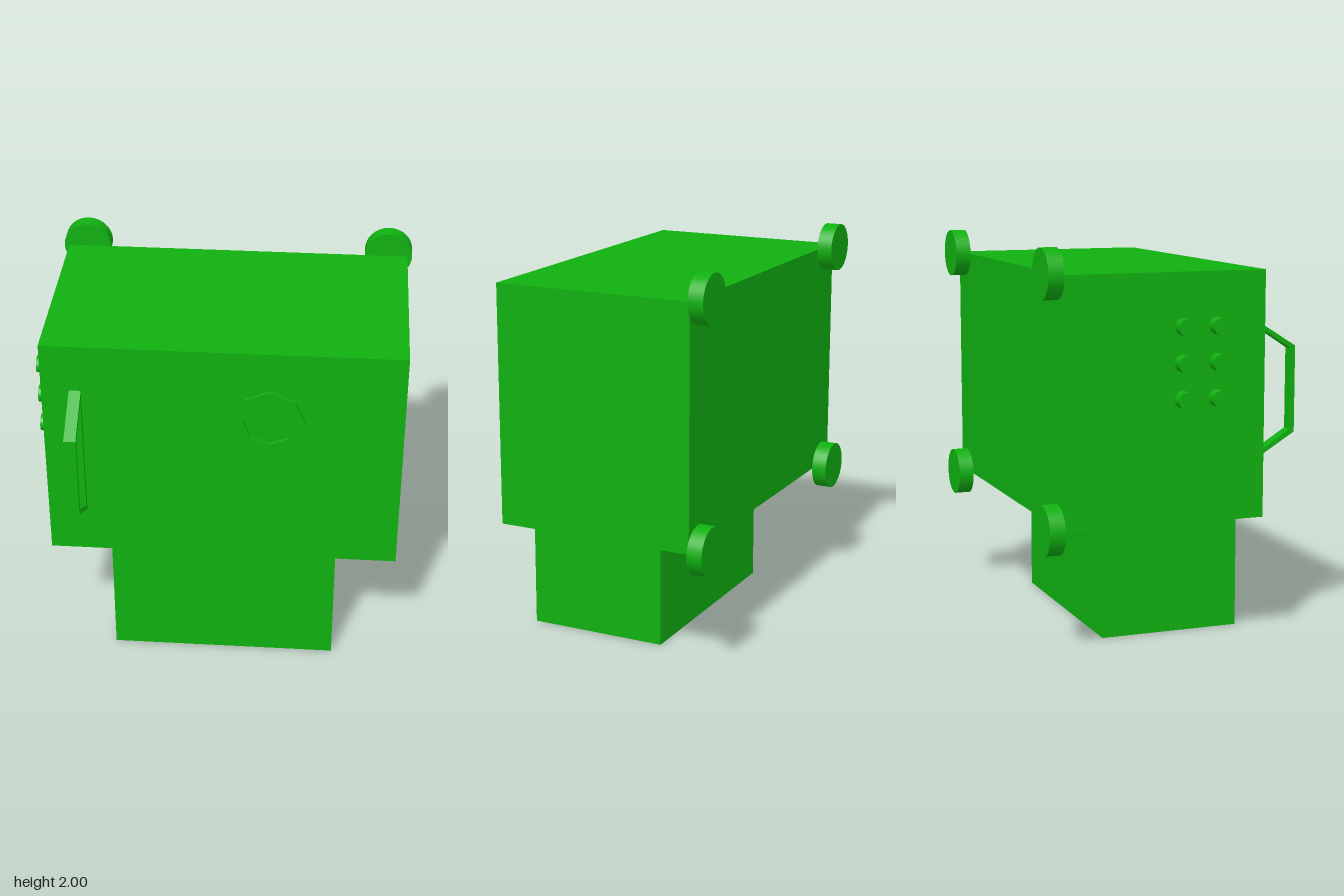
import * as THREE from 'three';

const FRONT = 0.445, BACK = -0.6;
const material = new THREE.MeshStandardMaterial({ color: 0x10b010 });

export function createModel() {
  const group = new THREE.Group();

  const add = (name, geometry, x = 0, y = 0, z = 0) => {
    const mesh = new THREE.Mesh(geometry, material);
    mesh.name = name;
    mesh.position.set(x, y, z);
    group.add(mesh);
    return mesh;
  };

  // Box given by its lower and upper corners
  const addBox = (name, [x0, y0, z0], [x1, y1, z1]) =>
    add(name, new THREE.BoxGeometry(x1 - x0, y1 - y0, z1 - z0),
      (x0 + x1) / 2, (y0 + y1) / 2, (z0 + z1) / 2);

  // Flat outline with one opening, given thickness
  const frame = (outer, inner, depth) => {
    const toPoints = (list) => list.map(([x, y]) => new THREE.Vector2(x, y));
    const shape = new THREE.Shape(toPoints(outer));
    shape.holes.push(new THREE.Path(toPoints(inner)));
    return new THREE.ExtrudeGeometry(shape, { depth, bevelEnabled: false });
  };

  // Main housing and the narrower base
  addBox('housing', [-0.89, 0.64, BACK], [0.92, 1.875, FRONT]);
  addBox('base', [-0.57, 0, -0.29], [0.605, 0.64, FRONT]);

  // Round feet on the four back corners
  for (const x of [-0.79, 0.82]) {
    for (const y of [0.637, 1.875]) {
      const foot = add('foot', new THREE.CylinderGeometry(0.125, 0.125, 0.08, 48), x, y, BACK - 0.04);
      foot.rotation.x = Math.PI / 2;
    }
  }

  // Two columns of three buttons on the right side
  for (const z of [0.01, 0.19]) {
    for (const y of [1.255, 1.433, 1.61]) {
      const button = add('button', new THREE.CylinderGeometry(0.043, 0.043, 0.06, 32), -0.92, y, z);
      button.rotation.z = Math.PI / 2;
    }
  }

  // Octagonal ring on the front
  const octagon = (r) => Array.from({ length: 8 }, (_, i) =>
    [r * Math.cos(i * Math.PI / 4), r * Math.sin(i * Math.PI / 4)]);
  add('dialRing', frame(octagon(0.177), octagon(0.133), 0.018), 0.25, 1.49, FRONT);

  // Trapezoid handle: outline in (z, y), turned so its thickness runs along x
  const handle = add('handle', frame(
    [[0.445, 0.893], [0.68, 1.035], [0.68, 1.475], [0.445, 1.623]],
    [[0.473, 0.935], [0.655, 1.05], [0.655, 1.462], [0.473, 1.58]],
    0.06), -0.69, 0, 0);
  handle.rotation.y = -Math.PI / 2;

  return group;
}
